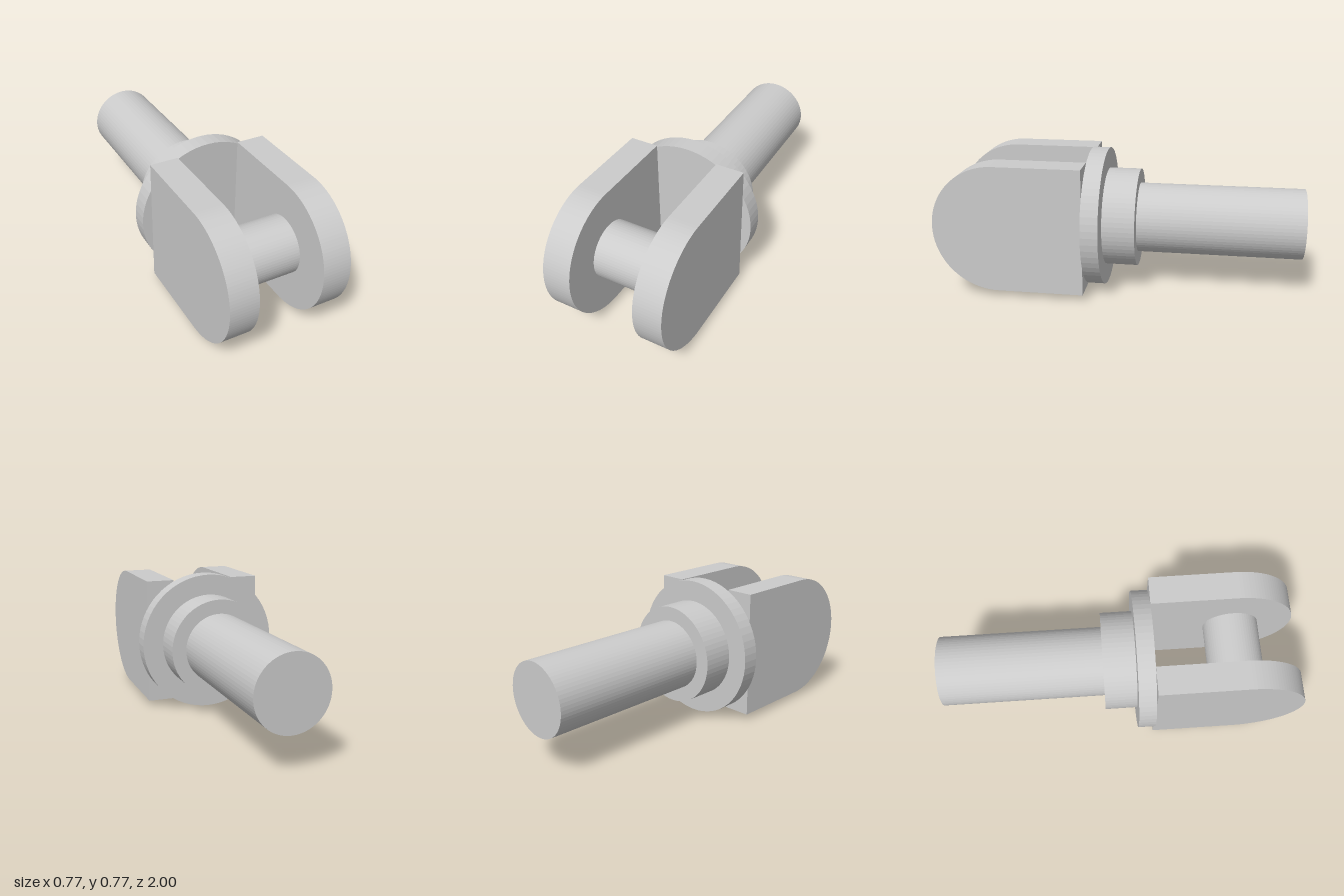
import * as THREE from 'three';

const AXIS_Y = 0.387;  // height of the shaft axis
const PIN_Z = 0.648;   // centre of the rounded fork ends
const SEGMENTS = 64;

export function createModel() {
  const group = new THREE.Group();
  const material = new THREE.MeshStandardMaterial({ color: 0xcccccc, flatShading: true });

  const add = (name, geometry, x, y, z) => {
    const mesh = new THREE.Mesh(geometry, material);
    mesh.name = name;
    mesh.position.set(x, y, z);
    group.add(mesh);
  };

  // Round sections along the z axis
  const addRound = (name, radius, back, front) => {
    const geometry = new THREE.CylinderGeometry(radius, radius, front - back, SEGMENTS);
    geometry.rotateX(Math.PI / 2);
    add(name, geometry, 0, AXIS_Y, (back + front) / 2);
  };
  addRound('shaft', 0.194, -1, -0.097);
  addRound('collar', 0.273, -0.097, 0.08);
  addRound('flange', 0.387, 0.08, 0.175);

  // Fork cheeks: square at the flange, rounded at the front
  const radius = 0.352;
  const thickness = 0.156;
  const profile = new THREE.Shape();
  profile.moveTo(0.175 - PIN_Z, -radius);
  profile.lineTo(0, -radius);
  profile.absarc(0, 0, radius, -Math.PI / 2, Math.PI / 2, false);
  profile.lineTo(0.175 - PIN_Z, radius);
  profile.closePath();
  const cheek = new THREE.ExtrudeGeometry(profile, {
    depth: thickness, bevelEnabled: false, curveSegments: SEGMENTS / 2,
  });
  cheek.translate(0, 0, -thickness / 2);
  cheek.rotateY(-Math.PI / 2);
  add('leftCheek', cheek, 0.255, AXIS_Y, PIN_Z);
  add('rightCheek', cheek, -0.255, AXIS_Y, PIN_Z);

  // Cross pin between the cheeks
  const pin = new THREE.CylinderGeometry(0.156, 0.156, 0.354, SEGMENTS);
  pin.rotateZ(Math.PI / 2);
  add('crossPin', pin, 0, AXIS_Y, PIN_Z);

  return group;
}
